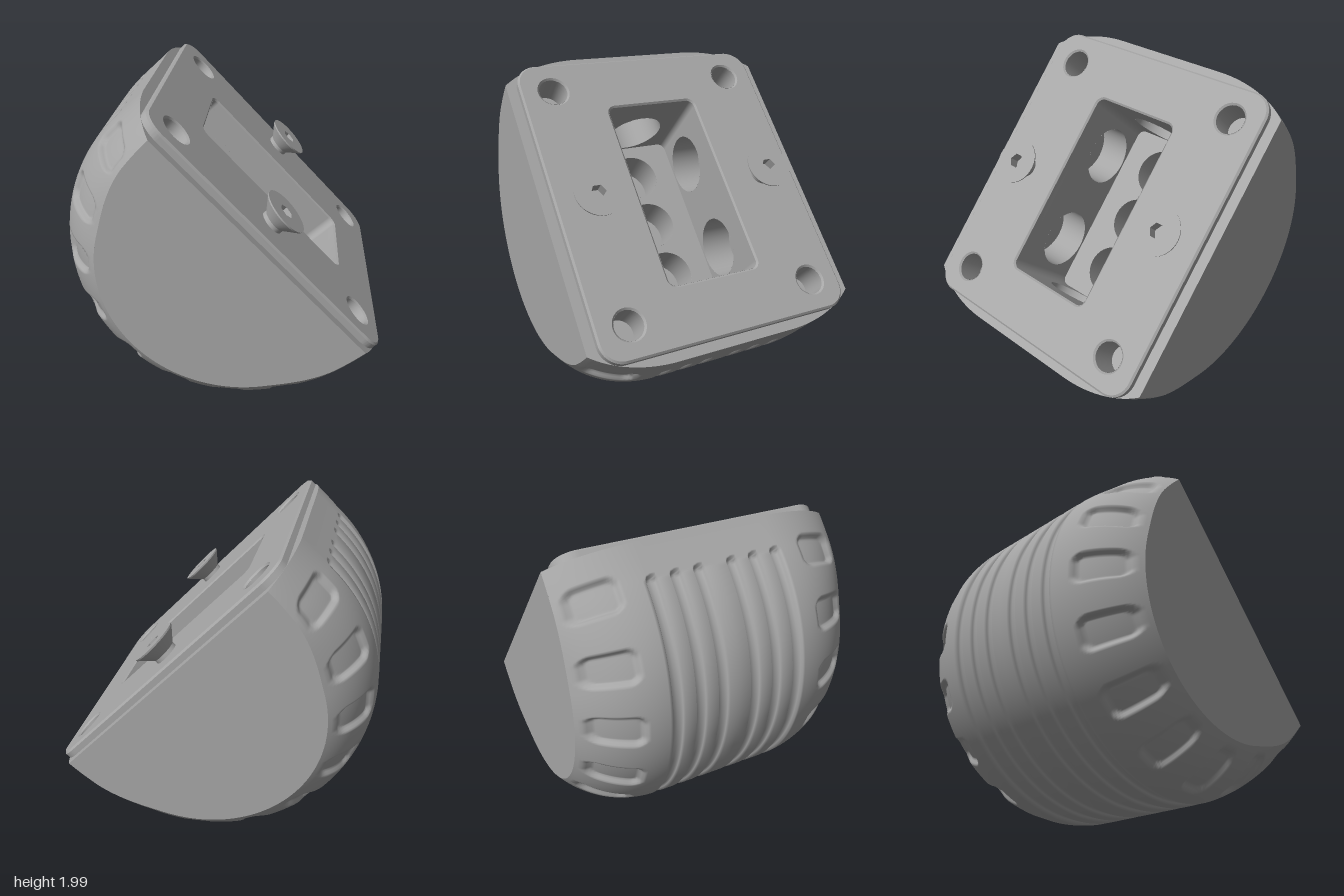
import * as THREE from 'three';
import { toCreasedNormals } from 'three/addons/utils/BufferGeometryUtils.js';

const R = 1.072, DROP = 0.22, HALF_W = 0.92, ARC = R * Math.PI / 2, HALF_S = ARC + DROP;
const clamp = THREE.MathUtils.clamp, lerp = THREE.MathUtils.lerp, smooth = THREE.MathUtils.smoothstep;
const GROOVES = [0.106, 0.25, 0.396], GROOVE_R = 0.038;
const metal = new THREE.MeshStandardMaterial({ color: 0xa6a6a6, side: THREE.DoubleSide });
metal.name = 'grey metal';

function mesh(name, geometry, parent) {
  const m = new THREE.Mesh(geometry, metal);
  m.name = name;
  parent.add(m);
  return m;
}

function roundRect(w, h, r, Type = THREE.Shape) {
  const p = new Type();
  const x = w / 2 - r, y = h / 2 - r;
  p.absarc(x, y, r, 0, Math.PI / 2);
  p.absarc(-x, y, r, Math.PI / 2, Math.PI);
  p.absarc(-x, -y, r, Math.PI, Math.PI * 1.5);
  p.absarc(x, -y, r, Math.PI * 1.5, Math.PI * 2);
  p.closePath();
  return p;
}

function circle(x, y, r) {
  return new THREE.Path().absarc(x, y, r, 0, Math.PI * 2, true);
}

// Blind hole going down local -z from (x, y)
function bore(parent, x, y, r, depth, z = 0) {
  const wall = new THREE.CylinderGeometry(r, r, depth, 36, 1, true).rotateX(Math.PI / 2);
  mesh('boreWall', wall.translate(x, y, z - depth / 2), parent);
  mesh('boreEnd', new THREE.CircleGeometry(r, 36).translate(x, y, z - depth), parent);
}

// Flat panel with blind holes
function panel(name, w, h, r, depth, centres, parent) {
  const g = new THREE.Group();
  g.name = name;
  const s = new THREE.Shape([[-1, -1], [1, -1], [1, 1], [-1, 1]].map(([x, y]) => new THREE.Vector2(x * w / 2, y * h / 2)));
  for (const [x, y] of centres) {
    s.holes.push(circle(x, y, r));
    bore(g, x, y, r, depth);
  }
  mesh(name + 'Face', new THREE.ShapeGeometry(s, 24), g);
  parent.add(g);
  return g;
}

// Depth of the grooves and grip pockets at arc position s and width z
function dent(s, z) {
  const az = Math.abs(z);
  let d = 0;
  for (const c of GROOVES) {
    const end = Math.max(Math.abs(s) - (R * 1.59 - GROOVE_R), 0);
    d = Math.max(d, 0.03 * smooth(GROOVE_R - Math.hypot(az - c, end), 0, 0.013));
  }
  const pitch = R * 0.384;
  const k = clamp(Math.round(s / pitch), -4, 4);
  const qx = Math.abs(s - k * pitch) - 0.04, qz = Math.abs(az - 0.73) - 0.085;
  const dist = Math.hypot(Math.max(qx, 0), Math.max(qz, 0)) - 0.07;
  return Math.max(d, 0.032 * smooth(-dist, 0, 0.03));
}

// Point on the domed shell
function shellPoint(s, z) {
  const a = clamp(s / R, -Math.PI / 2, Math.PI / 2);
  const lift = Math.abs(s - a * R);
  const t = smooth(HALF_S - Math.abs(s), 0, 0.8);
  const e = Math.max(Math.abs(z) - 0.4, 0), arc = 0.65;
  const sag = (arc - Math.sqrt(arc * arc - e * e)) / 0.26;
  const d = dent(s, z), tilt = Math.asin(e / arc);
  const r = R - 0.016 * (1 - t) - lerp(0.16, 0.262, t) * sag - d * Math.cos(tilt);
  return [r * Math.sin(a), -DROP - r * Math.cos(a) + lift, z - Math.sign(z) * d * Math.sin(tilt)];
}

function buildBody(root) {
  const body = new THREE.Group();
  body.name = 'body';
  root.add(body);

  // Width stations, closer together at the groove walls
  const half = [];
  for (const c of GROOVES) for (const o of [-GROOVE_R, -GROOVE_R + 0.007, -GROOVE_R + 0.013, 0, GROOVE_R - 0.013, GROOVE_R - 0.007, GROOVE_R]) half.push(c + o);
  for (let i = 0; i <= 30; i++) half.push(lerp(0.45, HALF_W, i / 30));
  const zs = [...half.map(z => -z).reverse(), 0, ...half];
  const N = 380, M = zs.length, pos = [], idx = [];
  const sAt = i => lerp(-HALF_S, HALF_S, i / N);
  for (let i = 0; i <= N; i++) {
    for (let j = 0; j < M; j++) {
      pos.push(...shellPoint(sAt(i), zs[j]));
      if (i < N && j < M - 1) {
        const a = i * M + j, b = a + M;
        idx.push(a, b, a + 1, b, b + 1, a + 1);
      }
    }
  }
  const shell = new THREE.BufferGeometry();
  shell.setAttribute('position', new THREE.Float32BufferAttribute(pos, 3));
  shell.setIndex(idx);
  shell.computeVertexNormals();
  mesh('domedShell', shell, body);

  // Flat cheeks
  const outline = [];
  for (let i = 0; i <= N; i += 2) {
    const p = shellPoint(sAt(i), HALF_W);
    outline.push(new THREE.Vector2(p[0], p[1]));
  }
  const cheek = new THREE.ShapeGeometry(new THREE.Shape(outline));
  mesh('leftCheek', cheek, body).position.z = HALF_W;
  const other = mesh('rightCheek', cheek, body);
  other.position.z = -HALF_W;
  other.rotation.y = Math.PI;

  // Rim around the raised plate
  const rim = [];
  for (const z of zs) rim.push(new THREE.Vector2(shellPoint(HALF_S, z)[0], z));
  for (const z of [...zs].reverse()) rim.push(new THREE.Vector2(shellPoint(-HALF_S, z)[0], z));
  const rimShape = new THREE.Shape(rim);
  rimShape.holes.push(roundRect(1.94, 1.66, 0.12, THREE.Path));
  mesh('rim', new THREE.ShapeGeometry(rimShape).rotateX(-Math.PI / 2), body);
}

function buildPlate(root) {
  const plate = new THREE.Group();
  plate.name = 'facePlate';
  plate.rotation.x = -Math.PI / 2;
  root.add(plate);
  const s = roundRect(1.99, 1.71, 0.14);
  s.holes.push(roundRect(1.26, 0.63, 0.05, THREE.Path));
  for (const x of [-0.79, 0.79]) for (const y of [-0.642, 0.642]) {
    s.holes.push(circle(x, y, 0.092));
    bore(plate, x, y, 0.092, 0.2, 0.04);
  }
  const g = new THREE.ExtrudeGeometry(s, {
    depth: 0.05, bevelThickness: 0.012, bevelSize: 0.012, bevelOffset: -0.012, bevelSegments: 1, curveSegments: 16
  });
  mesh('plate', toCreasedNormals(g.translate(0, 0, -0.012), 0.5), plate);
}

function buildPocket(root) {
  const pocket = new THREE.Group();
  pocket.name = 'pocket';
  root.add(pocket);
  const L = 1.26, W = 0.63, H = 0.59, y = 0.04 - H / 2, holeY = -0.335 - y;
  const floor = panel('pocketFloor', L, W, 0.165, 0.25, [[-0.385, 0], [0, 0], [0.385, 0]], pocket);
  floor.rotation.x = -Math.PI / 2;
  floor.position.y = 0.04 - H;
  for (const k of [-1, 1]) {
    const end = panel('pocketEnd', W, H, 0.2, 0.2, [[0, holeY]], pocket);
    end.position.set(k * L / 2, y, 0);
    end.rotation.y = -k * Math.PI / 2;
    const side = panel('pocketSide', L, H, 0.2, 0.22, [[-0.33, holeY], [0.33, holeY]], pocket);
    side.position.set(0, y, k * W / 2);
    side.rotation.y = k > 0 ? Math.PI : 0;
    // Rounded inside corners
    for (const j of [-1, 1]) {
      const start = Math.atan2(k, j) - Math.PI / 4;
      const c = new THREE.CylinderGeometry(0.05, 0.05, H, 8, 1, true, start, Math.PI / 2);
      mesh('pocketCorner', c, pocket).position.set(k * (L / 2 - 0.05), y, j * (W / 2 - 0.05));
    }
  }
}

function buildScrew(root, z) {
  const screw = new THREE.Group();
  screw.name = 'screw';
  screw.position.z = z;
  root.add(screw);
  const profile = [[0.078, 0.03], [0.078, 0.075], [0.152, 0.155], [0.154, 0.165]].map(p => new THREE.Vector2(...p));
  mesh('screwHead', toCreasedNormals(new THREE.LatheGeometry(profile, 40), 0.4), screw);
  const top = new THREE.Shape().absarc(0, 0, 0.154, 0, Math.PI * 2);
  const hex = [];
  for (let i = 0; i < 6; i++) hex.push(new THREE.Vector2(0.05 * Math.sin(i * Math.PI / 3), 0.05 * Math.cos(i * Math.PI / 3)));
  top.holes.push(new THREE.Path(hex));
  mesh('screwTop', new THREE.ShapeGeometry(top, 20).rotateX(-Math.PI / 2), screw).position.y = 0.165;
  mesh('socketWall', toCreasedNormals(new THREE.CylinderGeometry(0.05, 0.05, 0.07, 6, 1, true), 0.4), screw).position.y = 0.13;
  mesh('socketFloor', new THREE.CircleGeometry(0.055, 6).rotateX(-Math.PI / 2), screw).position.y = 0.096;
}

export function createModel() {
  const model = new THREE.Group();
  model.name = 'domedMount';
  const tilted = new THREE.Group();
  tilted.name = 'tiltedAssembly';
  tilted.rotation.z = -0.813;
  tilted.position.set(0.25, 1.2325, 0);
  model.add(tilted);
  buildBody(tilted);
  buildPlate(tilted);
  buildPocket(tilted);
  for (const z of [-0.612, 0.612]) buildScrew(tilted, z);
  return model;
}
